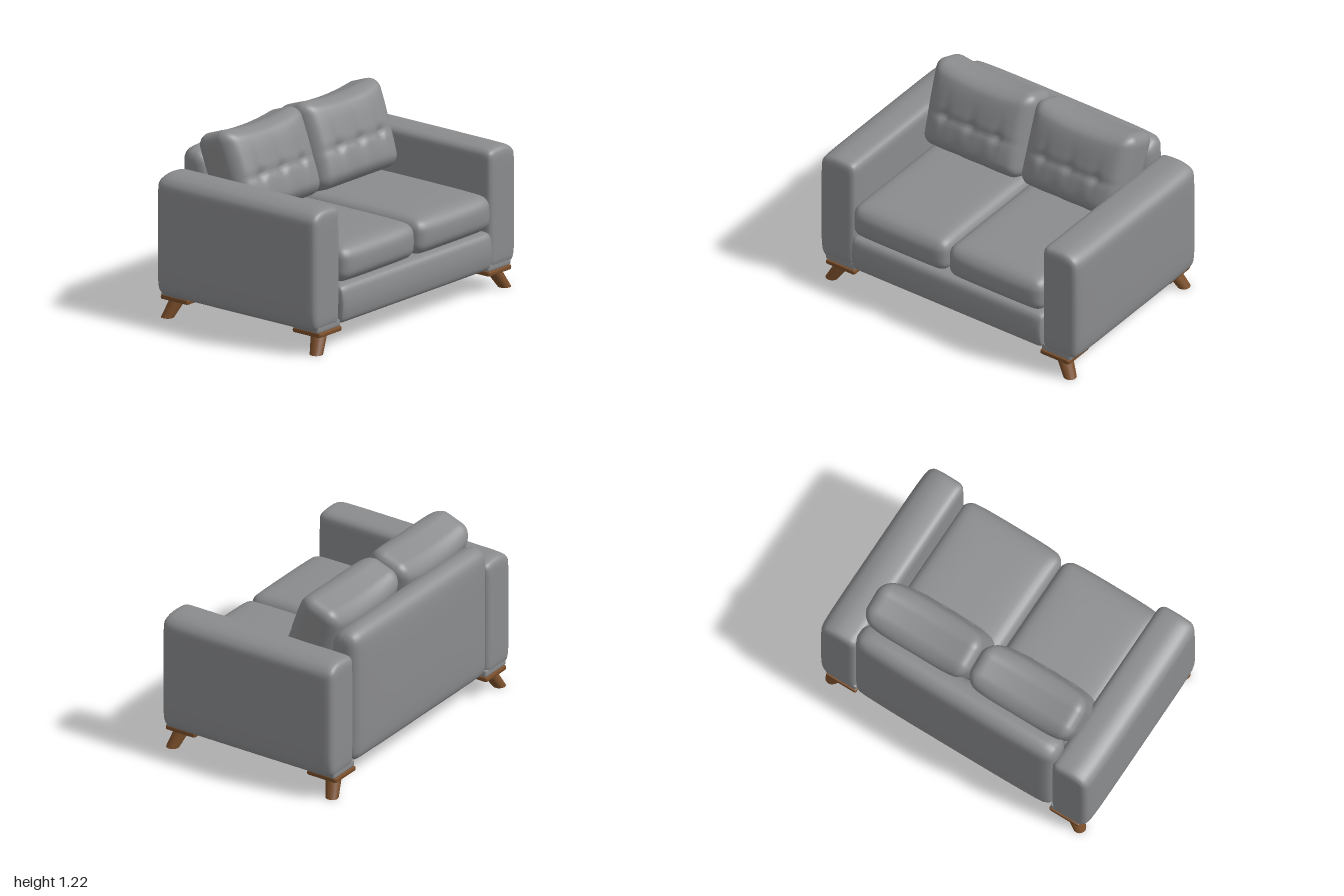
import * as THREE from 'three';
import { mergeVertices } from 'three/addons/utils/BufferGeometryUtils.js';

const fabric = new THREE.MeshStandardMaterial({ color: 0x8b8c8e });
fabric.name = 'greyFabric';
const wood = new THREE.MeshStandardMaterial({ color: 0x7a4e2a });
wood.name = 'brownWood';

// Smooth box with rounded edges; warp(p, u, v, w) bends it, with u, v, w from -1 to 1.
function softBox(w, h, d, r, segs, warp) {
  let g = new THREE.BoxGeometry(2, 2, 2, segs, segs, segs);
  g.deleteAttribute('uv');
  g.deleteAttribute('normal');
  g = mergeVertices(g, 1e-5);
  const half = new THREE.Vector3(w / 2, h / 2, d / 2);
  const inner = half.clone().subScalar(r);
  const low = inner.clone().negate();
  const p = new THREE.Vector3(), core = new THREE.Vector3();
  const pos = g.attributes.position;
  for (let i = 0; i < pos.count; i++) {
    p.fromBufferAttribute(pos, i);
    // crowd the grid towards the edges
    p.set(...p.toArray().map(t => Math.sin(t * Math.PI / 2))).multiply(half);
    core.copy(p).clamp(low, inner);
    p.sub(core).setLength(r).add(core);
    if (warp) warp(p, p.x / half.x, p.y / half.y, p.z / half.z);
    pos.setXYZ(i, p.x, p.y, p.z);
  }
  g.computeVertexNormals();
  return g;
}

export function createModel() {
  const sofa = new THREE.Group();
  sofa.name = 'sofa';
  const add = (name, geometry, material, x, y, z, parent = sofa) => {
    const mesh = new THREE.Mesh(geometry, material);
    mesh.name = name;
    mesh.position.set(x, y, z);
    parent.add(mesh);
    return mesh;
  };
  const up = v => Math.max(0, v);

  // Base with a softly bulging front rail
  add('base', softBox(1.47, 0.255, 1.27, 0.04, 20, (p, u, v, w) => {
    if (w > 0) p.z += 0.022 * w * (1 - v * v);
  }), fabric, 0, 0.2825, 0.015);

  // Backrest, thicker towards the seat, with a bowed rear and a rounded top
  add('backrest', softBox(1.48, 0.915, 0.2, 0.08, 24, (p, u, v, w) => {
    if (w < 0) p.z += w * 0.022 * (1 - u ** 4) * (1 - v ** 4) + 0.012;
    else p.z += w * 0.06 * (1 - v);
    if (v > 0) p.y -= 0.02 * v * up(w);
    p.y -= 0.015 * up(v) * u ** 6;
  }), fabric, 0, 0.6125, -0.565);

  for (const s of [1, -1]) {
    const side = s > 0 ? 'left' : 'right';

    // Arm with a crowned top and a tucked lower outer edge
    add(side + 'Arm', softBox(0.28, 0.79, 1.29, 0.05, 22, (p, u, v, w) => {
      const out = u * s;
      p.y -= up(v) ** 3 * (0.045 * up(out) ** 2 + 0.015 * up(-out) ** 2);
      p.x -= s * up(out) * (0.028 * up(-v) ** 8 + 0.008 * up(v) ** 4 + 0.012 * w ** 8);
      p.z *= 1 - 0.008 * v ** 8;
    }), fabric, s * 0.86, 0.545, 0);

    // Seat cushion
    add(side + 'SeatCushion', softBox(0.735, 0.23, 1.06, 0.075, 22, (p, u, v, w) => {
      p.y += 0.018 * v * (1 - u ** 4) * (1 - w ** 4);
      if (w > 0) p.z += 0.02 * w * (1 - u ** 4) * (1 - v * v);
    }), fabric, s * 0.3675, 0.535, 0.135);

    // Leaning back cushion with raised corners, a stitched row and three tufts
    const pillow = softBox(0.755, 0.56, 0.27, 0.08, 44, (p, u, v, w) => {
      const x0 = p.x, y0 = p.y;
      const puff = (1 - u ** 4) * (1 - v ** 4);
      p.z += 0.045 * w * puff;
      if (w > 0) {
        const row = Math.exp(-(((y0 + 0.04) / 0.022) ** 2));
        p.z -= 0.008 * w * row * (1 - u ** 4);
        for (const tx of [-0.2, 0, 0.2]) {
          const dx = (x0 - tx) ** 2, dy = (y0 + 0.04) ** 2;
          p.z -= w * (0.022 * Math.exp(-(dx + dy) / 0.0009)
            + 0.007 * Math.exp(-dx / 0.0006 - dy / 0.02));
        }
        p.z += 0.006 * w * up(-v) * Math.cos(x0 * 31) * (1 - u * u);
      }
      p.y += up(v) * (0.035 * u * u - 0.01);
      if (u * s > 0) p.x += s * 0.012 * u * s * v;
    });
    add(side + 'BackCushion', pillow, fabric, s * 0.379, 0.925, -0.295).rotation.x = -0.35;

    for (const f of [1, -1]) {
      // Splayed foot: fabric pad, wooden plate and tapered leg
      const foot = new THREE.Group();
      foot.name = (f > 0 ? 'front' : 'rear') + (s > 0 ? 'Left' : 'Right') + 'Foot';
      sofa.add(foot);
      add('pad', softBox(0.225, 0.05, 0.205, 0.012, 6), fabric, s * 0.83, 0.168, f * 0.535, foot);
      add('plate', softBox(0.222, 0.033, 0.222, 0.01, 6), wood, s * 0.825, 0.13, f * 0.535, foot);
      const leg = new THREE.CylinderGeometry(0.052, 0.042, 0.12, 20, 4);
      const pos = leg.attributes.position;
      for (let i = 0; i < pos.count; i++) {
        const t = 0.5 - pos.getY(i) / 0.12;
        pos.setX(i, pos.getX(i) + s * 0.07 * t);
        pos.setZ(i, pos.getZ(i) + f * 0.035 * t);
      }
      leg.computeVertexNormals();
      add('leg', leg, wood, s * 0.845, 0.06, f * 0.568, foot);
    }
  }
  return sofa;
}
